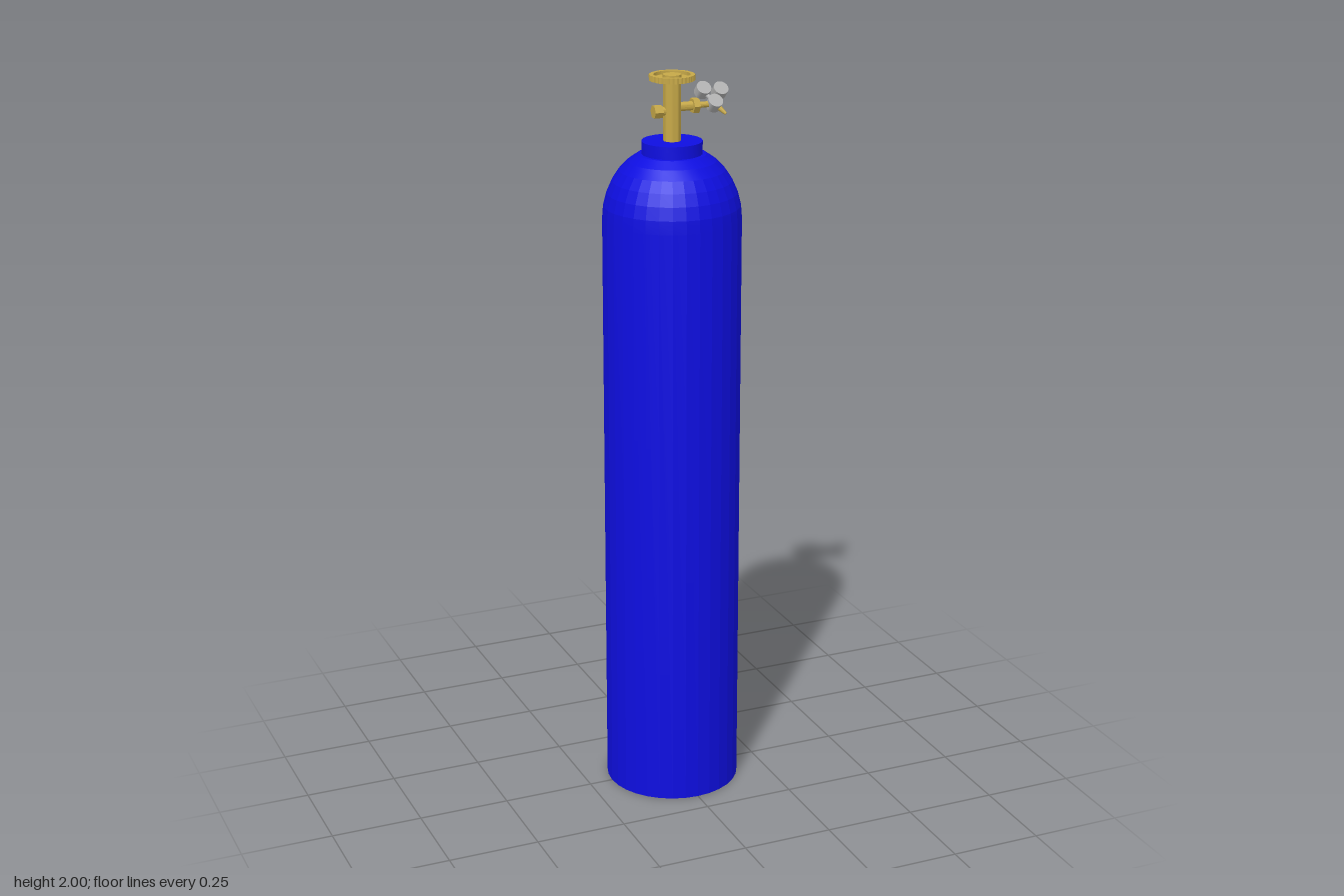
import * as THREE from 'three';
import { toCreasedNormals } from 'three/addons/utils/BufferGeometryUtils.js';

const blue = new THREE.MeshStandardMaterial({ color: 0x0e0ee0 });
blue.name = 'blue paint';
const brass = new THREE.MeshStandardMaterial({ color: 0xc6a848 });
brass.name = 'brass';
const steel = new THREE.MeshStandardMaterial({ color: 0xb0b0b0 });
steel.name = 'steel';

const UP = new THREE.Vector3(0, 1, 0);
const vec = (x, y, z) => new THREE.Vector3(x, y, z);

function add(parent, name, geometry, material) {
  const mesh = new THREE.Mesh(geometry, material);
  mesh.name = name;
  parent.add(mesh);
  return mesh;
}

// Turned part from [radius, height] pairs, listed bottom to top
function turned(points, sides, crease = 0.6) {
  const profile = points.map(([r, y]) => new THREE.Vector2(r, y));
  return toCreasedNormals(new THREE.LatheGeometry(profile, sides), crease);
}

// Cylinder or cone running between two points
function rod(parent, name, from, to, r0, r1, sides, material) {
  const dir = to.clone().sub(from);
  const geo = toCreasedNormals(new THREE.CylinderGeometry(r1, r0, dir.length(), sides), 0.6);
  const mesh = add(parent, name, geo, material);
  mesh.position.copy(from).add(to).multiplyScalar(0.5);
  mesh.quaternion.setFromUnitVectors(UP, dir.normalize());
  return mesh;
}

export function createModel() {
  const model = new THREE.Group();
  model.name = 'gasCylinder';

  // Tank with rounded shoulder
  const R = 0.184;
  const tankProfile = [[0, 0], [R, 0], [R, 1.62]];
  for (let i = 1; i <= 6; i++) {
    const a = (i / 6) * 1.13;
    tankProfile.push([0.02 + (R - 0.02) * Math.cos(a), 1.62 + 0.19 * Math.sin(a)]);
  }
  tankProfile.push([0, 1.797]);
  add(model, 'tank', turned(tankProfile, 32, 0.15), blue);

  // Neck collar
  add(model, 'neckCollar',
    turned([[0, 1.77], [0.08, 1.79], [0.08, 1.826], [0, 1.826]], 32), blue);

  // Valve stem
  const valve = new THREE.Group();
  valve.name = 'valve';
  model.add(valve);
  rod(valve, 'valveStem', vec(0, 1.82, 0), vec(0, 1.99, 0), 0.023, 0.023, 24, brass);

  // Handwheel with recessed top and notched rim
  const wheelProfile = [[0, 1.985], [0.06, 1.985], [0.06, 2], [0.048, 2],
    [0.048, 1.991], [0.024, 1.991], [0.024, 2], [0, 2]].map(([r, y]) => new THREE.Vector2(r, y));
  const wheel = new THREE.LatheGeometry(wheelProfile, 64);
  const pos = wheel.attributes.position;
  for (let i = 0; i < pos.count; i++) {
    const step = Math.floor(i / wheelProfile.length);
    if (i % wheelProfile.length === 1 || i % wheelProfile.length === 2) {
      const s = step % 2 ? 0.965 : 1;
      pos.setX(i, pos.getX(i) * s);
      pos.setZ(i, pos.getZ(i) * s);
    }
  }
  add(valve, 'handwheel', toCreasedNormals(wheel, 0.3), brass);

  // Side outlets
  rod(valve, 'plugNeck', vec(-0.035, 1.905, 0), vec(0, 1.905, 0), 0.011, 0.011, 16, brass);
  rod(valve, 'plugNut', vec(-0.053, 1.905, 0), vec(-0.03, 1.905, 0), 0.018, 0.018, 6, brass);
  rod(valve, 'outletNeck', vec(0, 1.913, 0), vec(0.06, 1.913, 0), 0.012, 0.012, 16, brass);
  rod(valve, 'outletNut', vec(0.056, 1.913, 0), vec(0.073, 1.913, 0), 0.021, 0.021, 6, brass);
  rod(valve, 'outletPipe', vec(0.07, 1.913, 0), vec(0.12, 1.913, 0), 0.008, 0.008, 16, brass);

  // Regulator, built facing +z and then leaned back
  const regulator = new THREE.Group();
  regulator.name = 'regulator';
  regulator.position.set(0.12, 1.914, 0);
  regulator.rotation.x = -Math.PI / 4;
  model.add(regulator);
  const disc = (name, x, y, r, back, front) =>
    rod(regulator, name, vec(x, y, back), vec(x, y, front), r, r, 24, steel);
  disc('regulatorBody', 0, 0, 0.02, -0.014, 0.014);
  for (const [name, x, y] of [['leftGauge', 0.027, 0.037], ['rightGauge', -0.02, 0.043]]) {
    disc(name, x, y, 0.02, -0.013, 0.013);
    rod(regulator, name + 'Stem', vec(0, 0, 0), vec(x, y, 0), 0.006, 0.006, 12, steel);
  }
  rod(regulator, 'hoseNozzle', vec(0.006, -0.01, 0), vec(0.022, -0.035, 0), 0.008, 0.004, 12, brass);

  return model;
}
